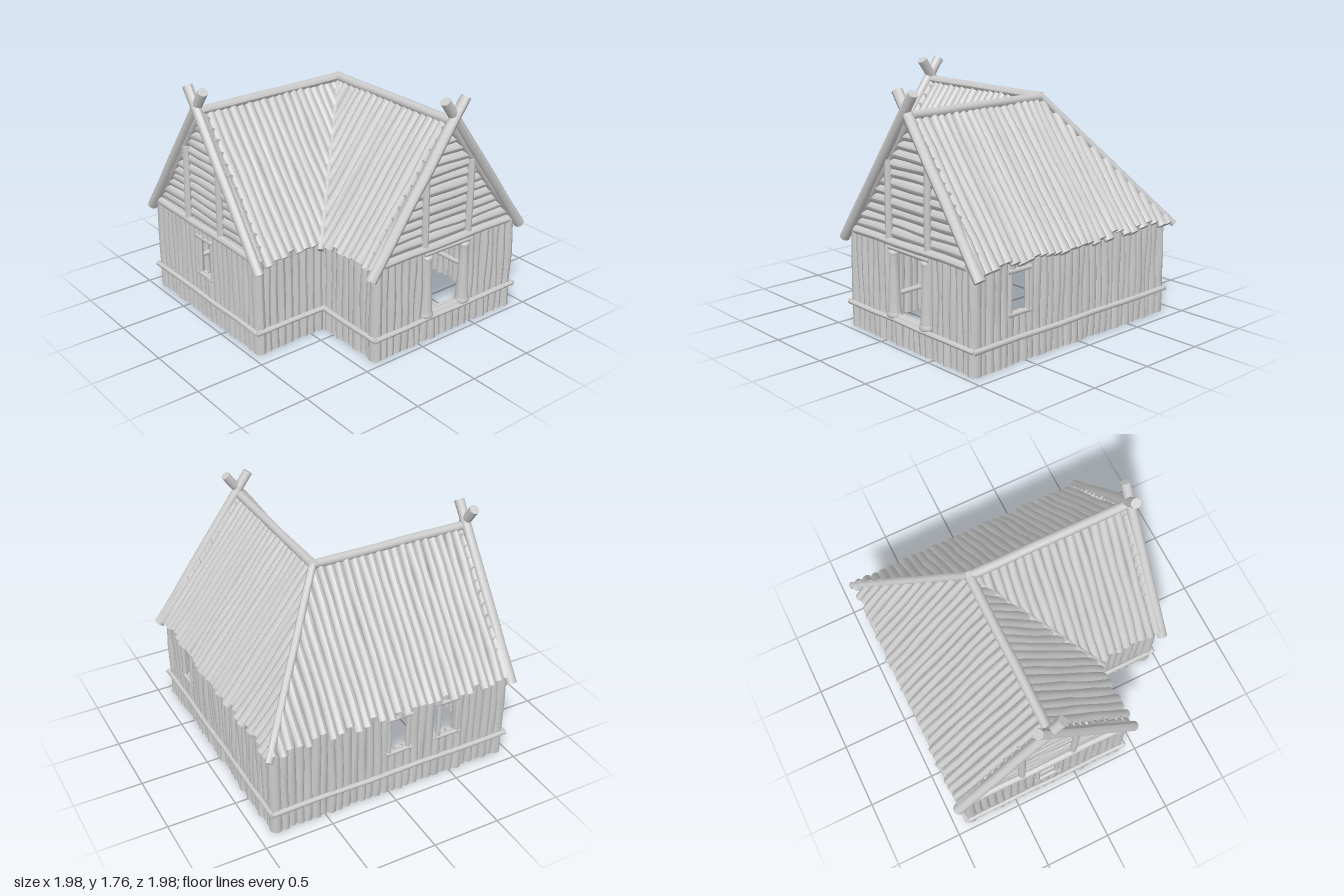
import * as THREE from 'three';

const material = new THREE.MeshStandardMaterial({ color: 0xcccccc });
const EAVE_Y = 0.69, APEX_Y = 1.55, RIDGE = 0.25, SLOPE = 1.3;
const roofY = (d) => APEX_Y - SLOPE * d; // height of the log axis at distance d from the ridge

export function createModel() {
  let seed = 7;
  const rand = () => (seed = (seed * 16807) % 2147483647) / 2147483647;
  const vary = (a) => (rand() * 2 - 1) * a;

  const house = new THREE.Group();
  house.name = 'logHouse';

  const section = (name) => {
    const g = new THREE.Group();
    g.name = name;
    house.add(g);
    return g;
  };

  // A slightly crooked round log between two points
  function log(group, name, a, b, r0, r1 = r0, rough = 1) {
    const dir = b.clone().sub(a), len = dir.length();
    const geo = new THREE.CylinderGeometry(r1, r0, len, 10, 5);
    const pos = geo.attributes.position;
    const p1 = rand() * 6, p2 = rand() * 6, p3 = rand() * 6;
    for (let i = 0; i < pos.count; i++) {
      const x = pos.getX(i), y = pos.getY(i), z = pos.getZ(i);
      const th = Math.atan2(z, x), v = y * 9;
      const k = 1 + rough * (0.06 * Math.sin(2 * th + p1) + 0.06 * Math.sin(v + p2));
      pos.setXYZ(i, x * k + rough * 0.004 * Math.sin(v + p3), y, z * k + rough * 0.004 * Math.cos(v + p1));
    }
    geo.computeVertexNormals();
    const mesh = new THREE.Mesh(geo, material);
    mesh.name = name;
    mesh.position.copy(a).add(b).multiplyScalar(0.5);
    mesh.quaternion.setFromUnitVectors(new THREE.Vector3(0, 1, 0), dir.normalize());
    group.add(mesh);
  }

  // The two wings are mirror images across the diagonal of the plan
  const frontMap = (x, y, z) => new THREE.Vector3(x, y, z);
  const leftMap = (x, y, z) => new THREE.Vector3(-z, y, -x);

  // Palisade wall from p to q ([x, z]); openings are { at, w, y0, y1 } measured along the wall
  function wall(name, V, p, q, out, openings = []) {
    const g = section(name);
    const len = Math.hypot(q[0] - p[0], q[1] - p[1]);
    const d = [(q[0] - p[0]) / len, (q[1] - p[1]) / len];
    const at = (s, y, o = 0) => V(p[0] + d[0] * s + out[0] * o, y, p[1] + d[1] * s + out[1] * o);
    const n = Math.round(len / 0.06);
    for (let i = 0; i <= n; i++) {
      const s = (i / n) * len, r = 0.034 + vary(0.003), o = vary(0.006);
      const hole = openings.find((h) => Math.abs(s - h.at) < h.w / 2 + 0.02);
      if (hole) {
        log(g, 'lowerWallLog', at(s, 0, o), at(s, hole.y0, o), r);
        log(g, 'upperWallLog', at(s, hole.y1, o), at(s, 0.73, o), r);
      } else log(g, 'wallLog', at(s, 0, o), at(s, 0.73, o), r);
    }
    // Belt rails outside and inside
    for (const o of [0.04, -0.04]) {
      const e = o > 0 ? 0.05 : -0.03;
      log(g, 'beltRail', at(-e, 0.177, o), at(len + e, 0.177, o), 0.019, 0.019, 0.5);
    }
    // Window frames
    for (const h of openings.filter((k) => !k.door)) {
      for (const y of [h.y0, h.y1])
        log(g, 'windowRail', at(h.at - 0.1, y, 0.025), at(h.at + 0.1, y, 0.025), 0.017, 0.017, 0.4);
      for (const s of [-1, 1])
        log(g, 'windowJamb', at(h.at + s * 0.077, h.y0, 0.02), at(h.at + s * 0.077, h.y1, 0.02), 0.018, 0.018, 0.4);
    }
  }

  const win = (at) => ({ at, w: 0.13, y0: 0.34, y1: 0.63 });
  const wings = [
    { name: 'front', V: frontMap, gable: [{ at: 0.61, w: 0.3, y0: 0.19, y1: 0.66, door: true }], side: [win(1.42)] },
    { name: 'left', V: leftMap, gable: [win(0.6)], side: [win(0.93), win(1.33)] },
  ];

  for (const { name, V, gable, side } of wings) {
    // Walls
    wall(name + 'GableWall', V, [-0.36, 0.92], [0.86, 0.92], [0, 1], gable);
    wall(name + 'OuterWall', V, [0.865, -0.86], [0.865, 0.92], [1, 0], side);
    wall(name + 'InnerWall', V, [-0.36, 0.36], [-0.36, 0.92], [-1, 0]);

    // Corner posts
    const posts = section(name + 'CornerPosts');
    for (const x of [-0.36, 0.86])
      log(posts, 'cornerPost', V(x, 0, 0.915), V(x, 0.71, 0.915), 0.046, 0.042, 0.4);

    // Gable infill of stacked logs with a beam and two studs
    const infill = section(name + 'Gable');
    for (let y = 0.77; y < 1.52; y += 0.067) {
      const h = (APEX_Y + 0.02 - y) / SLOPE;
      log(infill, 'gableLog', V(RIDGE - h, y, 0.905), V(RIDGE + h, y, 0.905), 0.037 + vary(0.003));
    }
    log(infill, 'gableBeam', V(-0.33, 0.715, 0.945), V(0.83, 0.715, 0.945), 0.028, 0.028, 0.6);
    for (const x of [0.04, 0.445])
      log(infill, 'gableStud', V(x, 0.71, 0.94), V(x, 1.27, 0.94), 0.026, 0.026, 0.5);

    // Crossed barge poles
    const barge = section(name + 'BargePoles');
    log(barge, 'bargePole', V(-0.445, 0.64, 0.96), V(0.34, 1.735, 0.96), 0.038, 0.036, 0.4);
    log(barge, 'bargePole', V(0.95, 0.645, 0.95), V(0.165, 1.735, 0.95), 0.038, 0.036, 0.4);

    // Roof logs running down from the ridge or hip to the eave or valley
    const roof = section(name + 'Roof');
    for (let i = 0; i < 30; i++) {
      const z = 0.925 - i * 0.0625;
      const x0 = Math.max(RIDGE, -z), x1 = 0.915 + vary(0.018);
      if (x1 - x0 > 0.03)
        log(roof, 'outerRoofLog', V(x0, roofY(x0 - RIDGE), z), V(x1, roofY(x1 - RIDGE), z), 0.033, 0.036 + vary(0.003));
      const x2 = z > 0.42 ? -0.415 + vary(0.018) : -z;
      if (RIDGE - x2 > 0.03)
        log(roof, 'innerRoofLog', V(RIDGE, roofY(0), z), V(x2, roofY(RIDGE - x2), z), 0.033, 0.036 + vary(0.003));
    }
    log(roof, 'ridgePole', V(RIDGE, 1.577, -0.27), V(RIDGE, 1.577, 0.94), 0.033, 0.033, 0.4);
  }

  // Posts at the outer and inner corners of the plan
  const shared = section('sharedCornerPosts');
  for (const [x, z] of [[0.86, -0.86], [-0.36, 0.36]])
    log(shared, 'cornerPost', frontMap(x, 0, z), frontMap(x, 0.71, z), 0.046, 0.042, 0.4);

  // Hip and valley poles
  const joints = section('hipAndValley');
  log(joints, 'hipPole', frontMap(0.25, 1.59, -0.25), frontMap(0.935, 0.66, -0.945), 0.026, 0.026, 0.3);
  log(joints, 'valleyPole', frontMap(0.25, 1.57, -0.25), frontMap(-0.46, 0.67, 0.45), 0.024, 0.024, 0.3);

  // Doorway: turned posts and lintel
  const door = section('doorway');
  const profile = [[0, 0.19], [0.05, 0.19], [0.055, 0.2], [0.052, 0.222], [0.046, 0.228], [0.042, 0.33],
    [0.034, 0.5], [0.028, 0.62], [0.036, 0.628], [0.036, 0.655], [0, 0.66]].map(([r, y]) => new THREE.Vector2(r, y));
  for (const x of [0.075, 0.42]) {
    const post = new THREE.Mesh(new THREE.LatheGeometry(profile, 14), material);
    post.name = 'doorPost';
    post.position.set(x, 0, 0.935);
    door.add(post);
  }
  log(door, 'doorLintel', frontMap(0.04, 0.672, 0.94), frontMap(0.46, 0.672, 0.94), 0.02, 0.02, 0.4);
  log(door, 'doorSill', frontMap(0.08, 0.19, 0.93), frontMap(0.42, 0.19, 0.93), 0.024, 0.024, 0.4);

  return house;
}
